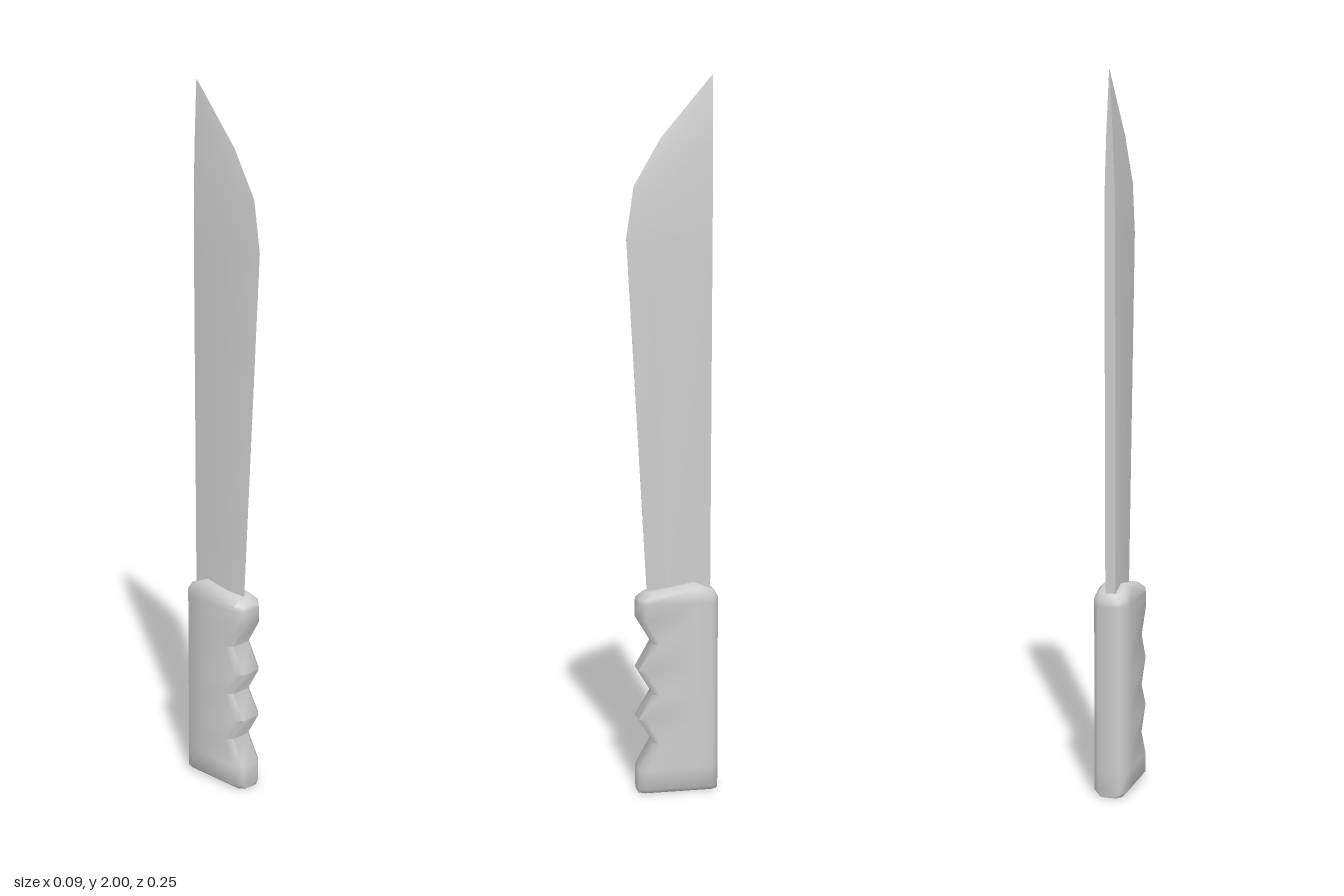
import * as THREE from 'three';
import { toCreasedNormals } from 'three/addons/utils/BufferGeometryUtils.js';

// Lofts mirrored sections: each is a list of [x, y, z] on the +x side, back to front.
function loft(sections, crease) {
  const half = sections[0].length, n = half * 2;
  const pos = [], idx = [];
  for (const s of sections) {
    for (const [x, y, z] of s) pos.push(x, y, z);
    for (const [x, y, z] of [...s].reverse()) pos.push(-x, y, z);
  }
  for (let j = 0; j < sections.length - 1; j++) {
    for (let i = 0; i < n; i++) {
      const a = j * n + i, b = j * n + (i + 1) % n;
      idx.push(a, a + n, b, b, a + n, b + n);
    }
  }
  // end caps, as strips between mirrored points
  const t = (sections.length - 1) * n;
  for (let i = 0; i < half - 1; i++) {
    const m = n - 1 - i;
    idx.push(i, i + 1, m, i + 1, m - 1, m);
    idx.push(t + i, t + m, t + i + 1, t + i + 1, t + m, t + m - 1);
  }
  const g = new THREE.BufferGeometry();
  g.setAttribute('position', new THREE.Float32BufferAttribute(pos, 3));
  g.setIndex(idx);
  return toCreasedNormals(g, crease);
}

// Chamfered handle section; y is a function of z so the top can slope
function gripSection(yAt, front, widthScale = 1, back = -0.127) {
  const c = 0.018, w = 0.047 * widthScale, f = 0.03 * widthScale;
  return [[f, back], [w, back + c], [w, -0.06], [w, front - c], [f, front]]
    .map(([x, z]) => [x, yAt(z), z]);
}

// Sloped top of the handle, highest near the spine
const topY = (z) => z > -0.06
  ? 0.6 - (z + 0.06) * 0.18
  : 0.6 - (-0.06 - z) * 0.4;

// Blade section: flat spine, thick body, bevel to the cutting edge
function bladeSection([y, spine, edge, thick]) {
  const bevel = spine + (edge - spine) * 0.7;
  return [[thick, y, spine], [thick, y, bevel], [0.0004, y, edge]];
}

export function createModel() {
  const group = new THREE.Group();
  const grey = new THREE.MeshStandardMaterial({ color: 0xcccccc });

  // Handle with finger notches along the front
  const grip = [gripSection(() => 0, 0.1, 0.72), gripSection(() => 0.014, 0.1)];
  const notches = [[0.07, 0.1], [0.145, 0.058], [0.215, 0.1], [0.285, 0.058],
    [0.355, 0.1], [0.43, 0.058], [0.5, 0.1], [0.545, 0.1]];
  for (const [y, z] of notches) grip.push(gripSection(() => y, z));
  grip.push(gripSection((z) => topY(z) - 0.015, 0.097));
  grip.push(gripSection(topY, 0.075, 0.68, -0.12));
  const handle = new THREE.Mesh(loft(grip, 1.15), grey);
  handle.name = 'handle';

  // Blade: height, spine z, edge z, half thickness
  const levels = [[0.54, -0.108, 0.069, 0.015], [1.56, -0.112, 0.126, 0.015],
    [1.7, -0.113, 0.105, 0.0135], [1.83, -0.114, 0.03, 0.009],
    [2, -0.115, -0.113, 0.0005]];
  const blade = new THREE.Mesh(loft(levels.map(bladeSection), 0.5), grey);
  blade.name = 'blade';

  group.add(handle, blade);
  return group;
}
